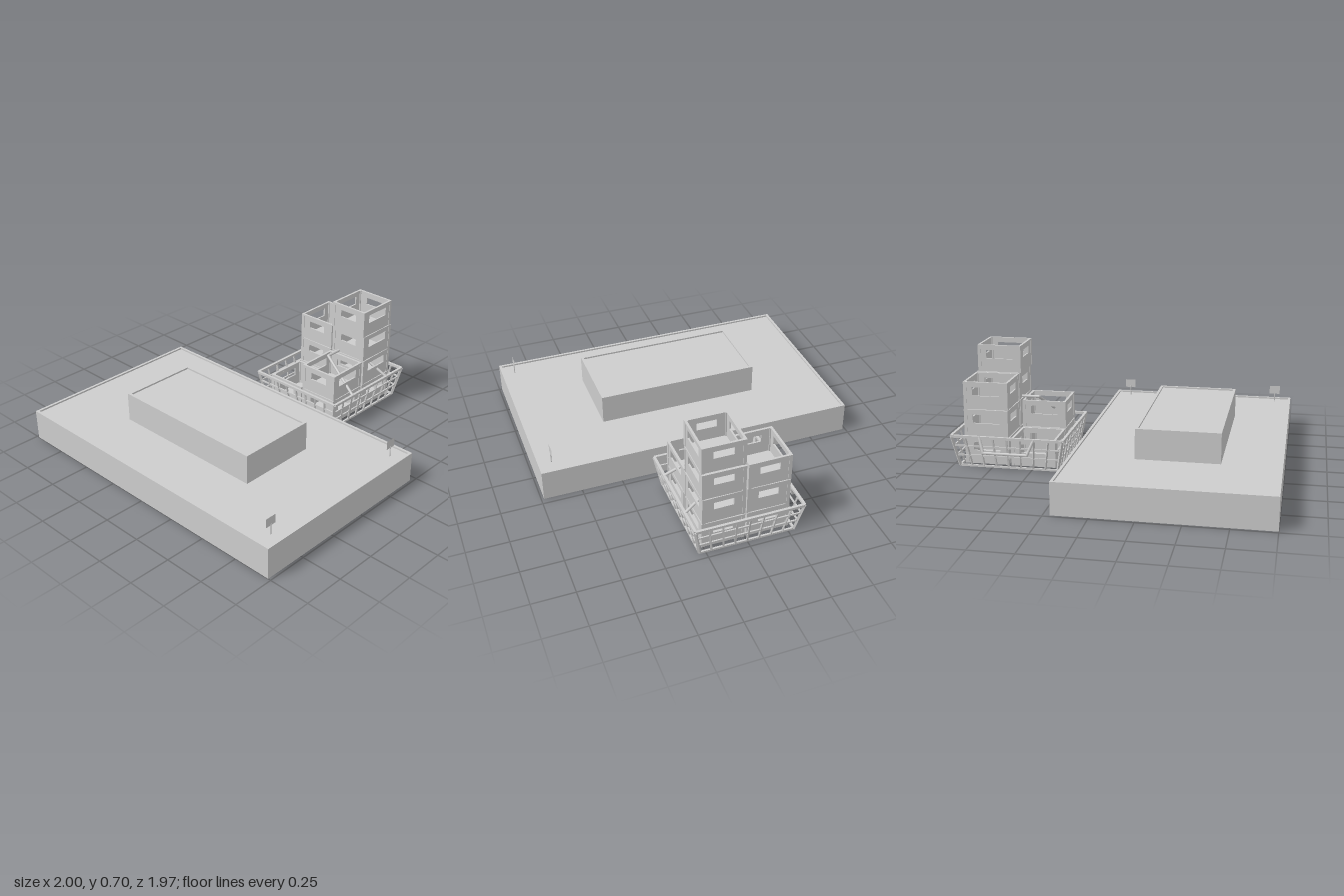
import * as THREE from 'three';

const grey = new THREE.MeshStandardMaterial({ color: 0xcccccc, side: THREE.DoubleSide });
grey.name = 'plain grey';

function add(parent, name, geometry, x = 0, y = 0, z = 0) {
  const mesh = new THREE.Mesh(geometry, grey);
  mesh.name = name;
  mesh.position.set(x, y, z);
  parent.add(mesh);
  return mesh;
}

function group(parent, name, x = 0, y = 0, z = 0) {
  const g = new THREE.Group();
  g.name = name;
  g.position.set(x, y, z);
  parent.add(g);
  return g;
}

function rectangle(Type, w, h, x = 0, y = 0) {
  return new Type([[-1, -1], [1, -1], [1, 1], [-1, 1]].map(
    ([a, b]) => new THREE.Vector2(x + a * w / 2, y + b * h / 2)));
}

// Extruded rectangle with a rectangular hole, centred on its thickness
function holedPlate(w, h, holeW, holeH, depth, holeY = 0) {
  const shape = rectangle(THREE.Shape, w, h);
  shape.holes.push(rectangle(THREE.Path, holeW, holeH, 0, holeY));
  return new THREE.ExtrudeGeometry(shape, { depth, bevelEnabled: false }).translate(0, 0, -depth / 2);
}

// Horizontal rectangular ring
function ring(w, d, thickness, height) {
  return holedPlate(w, d, w - 2 * thickness, d - 2 * thickness, height).rotateX(-Math.PI / 2);
}

// Hollow block: open bottom, sunken roof and raised rim
function hollowBlock(parent, name, w, h, d, x, y, z) {
  const g = group(parent, name, x, y, z);
  add(g, 'walls', ring(w, d, 0.003, h), 0, h / 2, 0);
  add(g, 'rim', ring(w, d, 0.016, 0.012), 0, h - 0.006, 0);
  add(g, 'roof', new THREE.BoxGeometry(w - 0.01, 0.004, d - 0.01), 0, h - 0.012, 0);
}

// Square bar between two points of the parent's space
function bar(parent, name, a, b, size) {
  const geometry = new THREE.BoxGeometry(size, size, a.distanceTo(b));
  geometry.lookAt(b.clone().sub(a));
  const mid = a.clone().lerp(b, 0.5);
  add(parent, name, geometry, mid.x, mid.y, mid.z);
}

// Open crate with a hand slot in each wall
function crate(parent, x, y, z, turn) {
  const g = group(parent, 'crate', x, y, z);
  g.rotation.y = turn;
  const w = 0.276, d = 0.258, h = 0.169, t = 0.01;
  add(g, 'crateFloor', new THREE.BoxGeometry(w - t, t, d - t), 0, t / 2, 0);
  for (const s of [-1, 1]) {
    add(g, 'crateLongWall', holedPlate(w - 0.008, h, 0.168, 0.054, t, 0.025), 0, h / 2, s * (d / 2 - t / 2 - 0.003));
    const side = add(g, 'crateShortWall', holedPlate(d - 0.008, h, 0.12, 0.046, t, 0.025), s * (w / 2 - t / 2 - 0.003), h / 2, 0);
    side.rotation.y = Math.PI / 2;
    for (const k of [-1, 1])
      add(g, 'cratePost', new THREE.BoxGeometry(0.02, h, 0.02), s * (w / 2 - 0.01), h / 2, k * (d / 2 - 0.01));
  }
  add(g, 'crateRim', ring(w, d, 0.014, 0.012), 0, h - 0.006, 0);
}

// Flared wire basket
function basket(parent) {
  const g = group(parent, 'basket', 0.647, 0, 0);
  const height = 0.2, cells = 8;
  const corners = (y) => {
    const f = y / height, hx = 0.305 + 0.04 * f, hz = 0.285 + 0.04 * f;
    return [[-1, -1], [1, -1], [1, 1], [-1, 1]].map(([a, b]) => new THREE.Vector3(a * hx, y, b * hz));
  };
  for (const [y, size] of [[0.006, 0.012], [0.075, 0.009], [0.137, 0.009], [0.198, 0.016]]) {
    const c = corners(y);
    c.forEach((p, i) => bar(g, 'basketHoop', p, c[(i + 1) % 4], size));
  }
  const low = corners(0.006), high = corners(0.198);
  for (let side = 0; side < 4; side++) {
    const next = (side + 1) % 4;
    for (let i = 0; i < cells; i++) {
      const f = i / cells;
      bar(g, 'basketUpright', low[side].clone().lerp(low[next], f),
        high[side].clone().lerp(high[next], f), i ? 0.01 : 0.015);
    }
  }
}

// Bent carrying handle
function handle(parent, name, points) {
  const p = points.map((q) => new THREE.Vector3(...q));
  for (let i = 0; i < p.length - 1; i++)
    add(parent, name, new THREE.TubeGeometry(new THREE.LineCurve3(p[i], p[i + 1]), 1, 0.009, 8));
  p.forEach((q) => add(parent, name + 'Joint', new THREE.SphereGeometry(0.009, 8, 6), q.x, q.y, q.z));
}

export function createModel() {
  const model = new THREE.Group();
  model.name = 'buildingAndCrateBasket';

  hollowBlock(model, 'baseBlock', 1.21, 0.19, 1.966, -0.395, 0, 0);
  hollowBlock(model, 'upperBlock', 0.49, 0.182, 1.0, -0.41, 0.178, 0);

  // Small signs along the front edge
  for (const x of [-0.893, 0.108]) {
    const g = group(model, 'sign', x, 0.18, 0.9);
    add(g, 'signPost', new THREE.CylinderGeometry(0.003, 0.003, 0.065, 8), 0, 0.0325, 0);
    add(g, 'signPlate', new THREE.PlaneGeometry(0.068, 0.054), 0, 0.083, 0);
  }

  basket(model);

  // Crate stacks: x, z, number of crates
  const stacks = [[0.5, 0.135, 2], [0.5, -0.133, 1], [0.789, 0.135, 4], [0.789, -0.133, 3]];
  stacks.forEach(([x, z, count], s) => {
    for (let i = 0; i < count; i++) {
      const shift = i === 3 ? -0.01 : 0;
      crate(model, x + shift, 0.012 + i * 0.1715, z, 0.012 * Math.sin(s * 3 + i * 2));
    }
  });

  // One handle folded in over the crates, the other hanging outside
  handle(model, 'frontHandle', [[0.48, 0.2, 0.325], [0.545, 0.365, 0.062], [0.765, 0.365, 0.062], [0.825, 0.2, 0.325]]);
  handle(model, 'backHandle', [[0.478, 0.2, -0.325], [0.515, 0.11, -0.352], [0.785, 0.11, -0.352], [0.815, 0.2, -0.325]]);
  return model;
}
